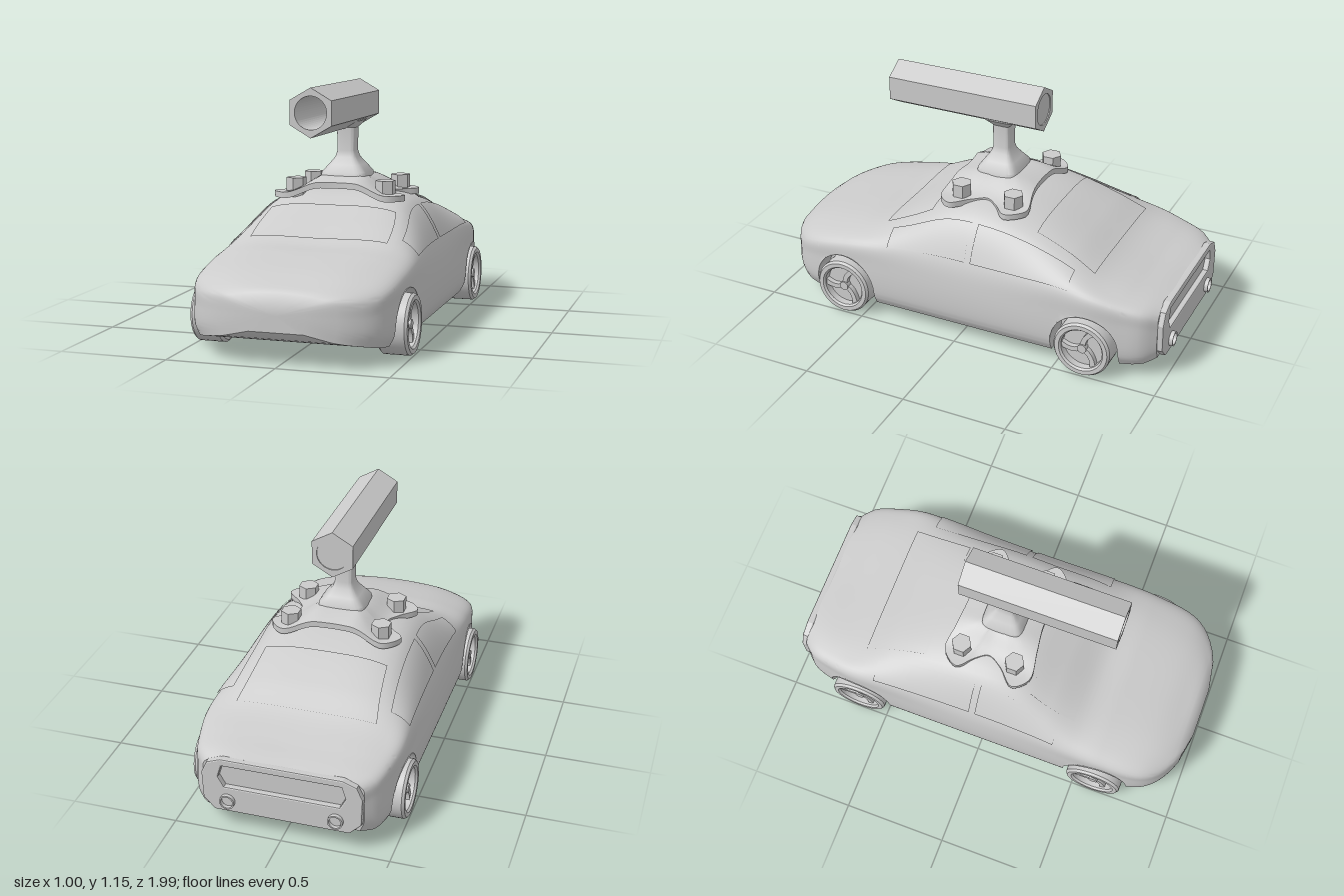
import * as THREE from 'three';
import { toCreasedNormals } from 'three/addons/utils/BufferGeometryUtils.js';

const grey = new THREE.MeshStandardMaterial({ color: 0xcccccc, side: THREE.DoubleSide });
const V = (x, y, z) => new THREE.Vector3(x, y, z);
const WHEELS = [0.6, -0.64], AXLE_Y = 0.137, ARCH_R = 0.16, WELL_X = 0.345;

// Body stations, front to back:
// z, half width, floor, widest y, shoulder x, shoulder y, roof edge x, roof edge y, top
const STATIONS = [
  [0.99, 0.13, 0.15, 0.22, 0.12, 0.25, 0.08, 0.265, 0.27],
  [0.97, 0.25, 0.12, 0.22, 0.24, 0.28, 0.17, 0.3, 0.315],
  [0.9, 0.38, 0.095, 0.22, 0.37, 0.29, 0.27, 0.335, 0.35],
  [0.8, 0.445, 0.075, 0.24, 0.435, 0.32, 0.3, 0.37, 0.385],
  [0.6, 0.47, 0.07, 0.27, 0.455, 0.36, 0.33, 0.41, 0.425],
  [0.46, 0.475, 0.07, 0.28, 0.455, 0.38, 0.35, 0.435, 0.445],
  [0.3, 0.475, 0.07, 0.28, 0.448, 0.4, 0.345, 0.5, 0.53],
  [0.1, 0.475, 0.07, 0.28, 0.443, 0.41, 0.31, 0.585, 0.62],
  [-0.1, 0.475, 0.07, 0.28, 0.443, 0.41, 0.31, 0.595, 0.635],
  [-0.3, 0.475, 0.07, 0.28, 0.447, 0.41, 0.315, 0.56, 0.6],
  [-0.5, 0.475, 0.07, 0.29, 0.455, 0.41, 0.335, 0.495, 0.52],
  [-0.66, 0.475, 0.07, 0.29, 0.46, 0.39, 0.36, 0.425, 0.437],
  [-0.8, 0.45, 0.07, 0.28, 0.44, 0.36, 0.36, 0.39, 0.395],
  [-0.9, 0.42, 0.08, 0.27, 0.41, 0.34, 0.33, 0.37, 0.376],
  [-0.955, 0.37, 0.1, 0.25, 0.365, 0.32, 0.29, 0.355, 0.362],
];

// Smooth interpolation of one station column along z
function at(z, k) {
  const S = STATIONS, n = S.length - 1;
  let i = 0;
  while (i < n - 1 && z < S[i + 1][0]) i++;
  const slope = j => {
    const a = S[Math.max(j - 1, 0)], b = S[Math.min(j + 1, n)];
    return (b[k] - a[k]) / (b[0] - a[0]);
  };
  const h = S[i + 1][0] - S[i][0], u = (z - S[i][0]) / h, u2 = u * u, u3 = u2 * u;
  return (2 * u3 - 3 * u2 + 1) * S[i][k] + (u3 - 2 * u2 + u) * h * slope(i)
    + (3 * u2 - 2 * u3) * S[i + 1][k] + (u3 - u2) * h * slope(i + 1);
}

// Upper section of the body at z, from one sill over the roof to the other
function section(z) {
  const [w, yb, ym, sx, sy, rx, ry, top] = [1, 2, 3, 4, 5, 6, 7, 8].map(k => at(z, k));
  const half = [[0.95 * w, yb], [w, yb + 0.05], [w, ym], [sx, sy], [rx, ry]];
  const pts = [...half, [0, top], ...half.map(([x, y]) => [-x, y]).reverse()];
  return new THREE.CatmullRomCurve3(pts.map(([x, y]) => V(x, y, z)));
}

// Skin over rings of points; each ring is counter-clockwise seen along the travel
function loft(rings, { closed = true, capStart = false, capEnd = false, crease = 0.6 } = {}) {
  const n = rings[0].length, pos = rings.flat().flatMap(p => [p.x, p.y, p.z]), idx = [];
  for (let i = 0; i < rings.length - 1; i++)
    for (let j = 0; j < (closed ? n : n - 1); j++) {
      const a = i * n + j, b = i * n + (j + 1) % n;
      idx.push(a, a + n, b, b, a + n, b + n);
    }
  const cap = (ring, base, flip) => {
    const c = ring.reduce((s, p) => s.add(p), V(0, 0, 0)).divideScalar(n), k = pos.length / 3;
    pos.push(c.x, c.y, c.z);
    for (let j = 0; j < n; j++) {
      const a = base + j, b = base + (j + 1) % n;
      idx.push(k, flip ? b : a, flip ? a : b);
    }
  };
  if (capStart) cap(rings[0], 0, false);
  if (capEnd) cap(rings.at(-1), (rings.length - 1) * n, true);
  const g = new THREE.BufferGeometry();
  g.setAttribute('position', new THREE.Float32BufferAttribute(pos, 3));
  g.setIndex(idx);
  g.computeVertexNormals();
  return crease ? toCreasedNormals(g, crease) : g;
}

function bodyGeometry() {
  const zs = [];
  for (let i = 0; i <= 80; i++) zs.push(0.99 - i * 1.945 / 80);
  for (const c of WHEELS) {
    for (let k = 0; k <= 20; k++) zs.push(c + ARCH_R * Math.cos(k * Math.PI / 20));
    zs.push(c + ARCH_R + 0.001, c - ARCH_R - 0.001);
  }
  zs.sort((a, b) => b - a);
  const rings = zs.map(z => {
    const w = at(z, 1), yb = at(z, 2), inner = Math.min(WELL_X, 0.8 * w);
    const floor = [-inner - 0.001, -inner, -inner / 2, 0, inner / 2, inner, inner + 0.001];
    const ring = [...section(z).getPoints(70), ...floor.map(x => V(x, yb, z))];
    // wheel arches: lift everything below the arch curve
    for (const c of WHEELS) {
      const d = ARCH_R ** 2 - (z - c) ** 2;
      if (d < -1e-9) continue;
      const y = AXLE_Y + Math.sqrt(Math.max(d, 0));
      for (const p of ring) if (Math.abs(p.x) > WELL_X) p.y = Math.max(p.y, y);
    }
    return ring;
  });
  return loft(rings, { capStart: true, capEnd: true });
}

// Glass panel lying just proud of the body, between section positions t0 and t1
function glass(z0, z1, t0, t1) {
  const rings = [];
  for (let i = 0; i <= 20; i++) {
    const curve = section(z0 + (z1 - z0) * i / 20);
    rings.push(Array.from({ length: 21 }, (_, j) => curve.getPoint((t0 + (t1 - t0) * j / 20) / 10)));
  }
  const g = loft(rings, { closed: false, crease: 0 }), p = g.attributes.position, n = g.attributes.normal;
  for (let i = 0; i < p.count; i++)
    p.setXYZ(i, p.getX(i) + 0.006 * n.getX(i), p.getY(i) + 0.006 * n.getY(i), p.getZ(i) + 0.006 * n.getZ(i));
  return g;
}

function mountPlateGeometry() {
  const outline = new THREE.CatmullRomCurve3([
    [0.215, -0.04], [0.25, -0.1], [0.315, -0.17], [0.25, -0.25], [0.13, -0.235], [0, -0.225],
    [-0.13, -0.235], [-0.25, -0.25], [-0.315, -0.17], [-0.25, -0.1], [-0.215, -0.04], [-0.25, 0.03],
    [-0.32, 0.11], [-0.26, 0.18], [-0.13, 0.17], [0, 0.155], [0.13, 0.17], [0.26, 0.18],
    [0.32, 0.11], [0.25, 0.03]].map(([x, z]) => V(x, 0, z)), true).getPoints(100).slice(0, -1);
  const ring = (s, drop) => outline.map(p => {
    const x = p.x * s, rise = 1 - THREE.MathUtils.smoothstep(Math.abs(x), 0.08, 0.25);
    return V(x, 0.632 + 0.085 * rise * (1 - 0.4 * s * s) - drop, -0.04 + (p.z + 0.04) * s);
  });
  const steps = [0.1, 0.2, 0.3, 0.4, 0.5, 0.6, 0.7, 0.8, 0.9, 1];
  return loft([...steps.map(s => ring(s, 0)), ...steps.reverse().map(s => ring(s, 0.028))],
    { capStart: true, capEnd: true });
}

// Rounded-square post, rows from top to bottom: y, half x, half z
function pedestalGeometry() {
  const rows = [[0.99, 0.08, 0.085], [0.965, 0.078, 0.08], [0.93, 0.045, 0.043], [0.82, 0.043, 0.042],
    [0.79, 0.052, 0.05], [0.755, 0.08, 0.075], [0.72, 0.11, 0.1], [0.69, 0.115, 0.105]];
  const sq = v => Math.sign(v) * Math.abs(v) ** 0.35;
  return loft(rows.map(([y, a, b]) => Array.from({ length: 32 }, (_, k) => {
    const t = k * Math.PI / 16;
    return V(a * sq(Math.cos(t)), y, -0.025 - b * sq(Math.sin(t)));
  })), { capStart: true, capEnd: true });
}

function wheel() {
  const g = new THREE.Group();
  const profile = [[0, 0.36], [0.125, 0.36], [0.137, 0.372], [0.137, 0.488], [0.128, 0.5], [0.108, 0.5],
    [0.1, 0.49], [0.1, 0.455], [0, 0.455]].map(p => new THREE.Vector2(...p));
  const tyre = new THREE.LatheGeometry(profile, 40).rotateZ(-Math.PI / 2);
  add(g, 'tyre', toCreasedNormals(tyre, 0.6));
  add(g, 'hub', new THREE.CylinderGeometry(0.02, 0.022, 0.035, 16).rotateZ(Math.PI / 2), 0.47);
  // three swept spokes
  const blade = new THREE.Shape();
  blade.moveTo(-0.01, 0.01);
  blade.quadraticCurveTo(-0.012, 0.055, 0.035, 0.096);
  blade.lineTo(0.06, 0.08);
  blade.quadraticCurveTo(0.012, 0.055, 0.014, 0.01);
  for (let k = 0; k < 3; k++) {
    const s = new THREE.ExtrudeGeometry(blade, { depth: 0.025, bevelEnabled: false, curveSegments: 8 });
    add(g, 'spoke', s.rotateZ(k * Math.PI * 2 / 3).rotateY(Math.PI / 2), 0.455);
  }
  return g;
}

function add(parent, name, geometry, x = 0, y = 0, z = 0) {
  const m = new THREE.Mesh(geometry, grey);
  m.name = name;
  m.position.set(x, y, z);
  parent.add(m);
  return m;
}

const polygon = pts => new THREE.Shape(pts.map(p => new THREE.Vector2(...p)));

export function createModel() {
  const car = new THREE.Group();
  car.name = 'car';
  add(car, 'body', bodyGeometry());
  add(car, 'windscreen', glass(0.43, 0.2, 4.1, 5.9));
  add(car, 'rearWindow', glass(-0.33, -0.63, 4.1, 5.9));
  for (const flip of [false, true]) {
    const span = flip ? [6.2, 7] : [3, 3.8];
    add(car, 'frontSideWindow', glass(0.37, -0.03, ...span));
    add(car, 'rearSideWindow', glass(-0.06, -0.55, ...span));
  }

  // tail frame around a recessed panel
  const tail = polygon([[-0.31, 0.1], [0.31, 0.1], [0.36, 0.15], [0.365, 0.28], [0.34, 0.335], [0.28, 0.358],
    [-0.28, 0.358], [-0.34, 0.335], [-0.365, 0.28], [-0.36, 0.15]]);
  tail.holes.push(polygon([[-0.27, 0.215], [-0.3, 0.27], [-0.28, 0.335], [0.28, 0.335], [0.3, 0.27], [0.27, 0.215]]));
  add(car, 'tailFrame', new THREE.ExtrudeGeometry(tail,
    { depth: 0.02, bevelThickness: 0.008, bevelSize: 0.006, bevelSegments: 2 }), 0, 0, -0.974);

  const ring = new THREE.Shape().absarc(0, 0, 0.035, 0, Math.PI * 2);
  ring.holes.push(new THREE.Path().absarc(0, 0, 0.028, 0, Math.PI * 2));
  for (const side of [1, -1]) {
    add(car, 'exhaust', new THREE.ExtrudeGeometry(ring, { depth: 0.1, bevelEnabled: false }), side * 0.25, 0.152, -1);
    for (const z of WHEELS) {
      const w = wheel();
      w.name = z > 0 ? 'frontWheel' : 'rearWheel';
      w.position.set(0, AXLE_Y, z);
      if (side < 0) w.rotation.y = Math.PI;
      car.add(w);
    }
    for (const z of [-0.175, 0.09])
      add(car, 'mountBolt', toCreasedNormals(new THREE.CylinderGeometry(0.048, 0.048, 0.09, 6), 0.3), side * 0.22, 0.65, z);
  }
  add(car, 'mountPlate', mountPlateGeometry());
  add(car, 'pedestal', pedestalGeometry());

  // hexagonal roof tube with a round bore, plugged at the back
  const hex = polygon(Array.from({ length: 6 }, (_, k) => {
    const t = Math.PI / 6 + k * Math.PI / 3;
    return [0.112 * Math.cos(t), 0.112 * Math.sin(t)];
  }));
  hex.holes.push(new THREE.Path().absarc(0, 0, 0.075, 0, Math.PI * 2));
  add(car, 'roofTube', new THREE.ExtrudeGeometry(hex, { depth: 0.755, bevelEnabled: false, curveSegments: 24 }), 0, 1.038, -0.227);
  add(car, 'tubePlug', new THREE.CylinderGeometry(0.075, 0.075, 0.06, 32).rotateX(Math.PI / 2), 0, 1.038, -0.192);
  return car;
}
